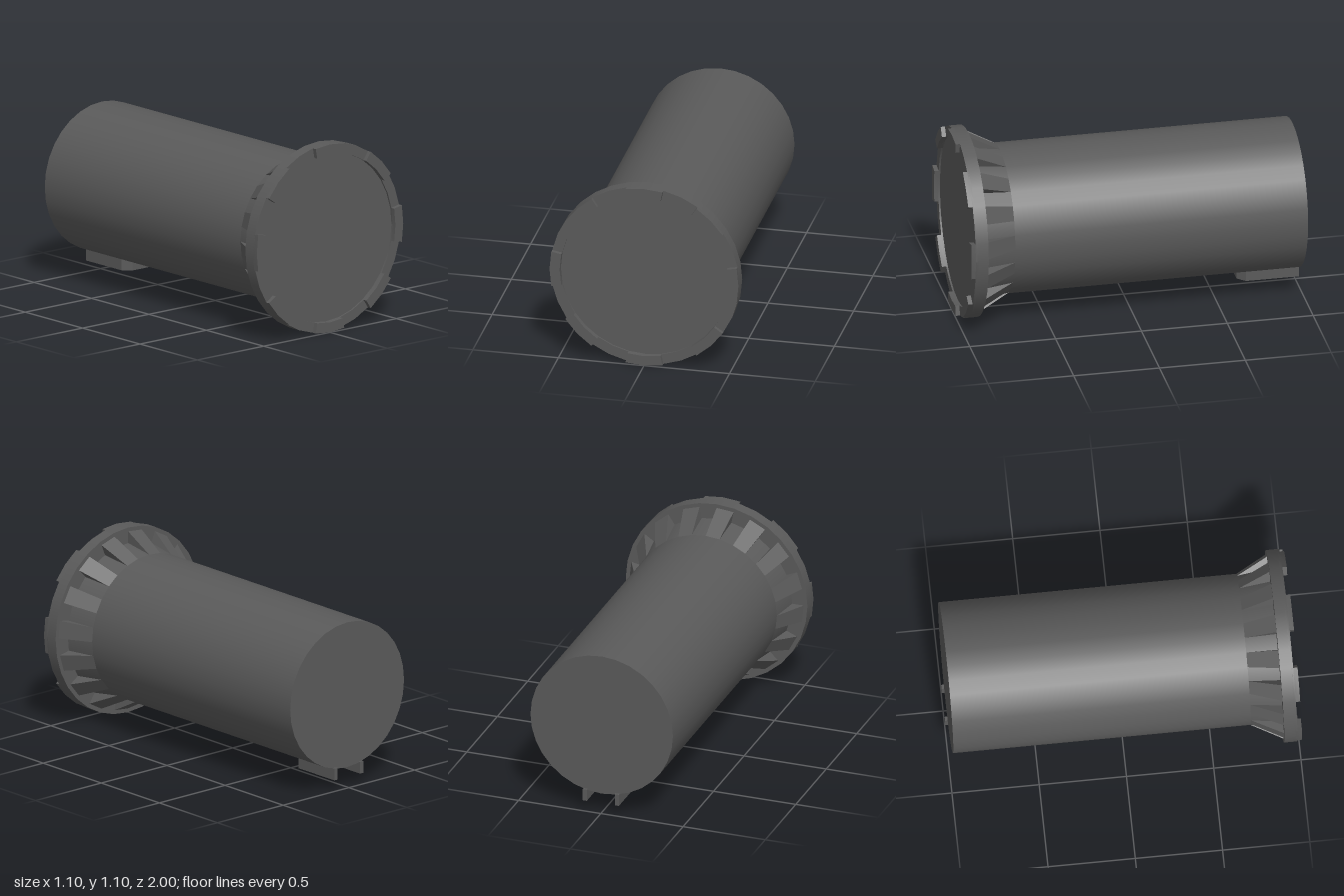
import * as THREE from 'three';

const CY = 0.556;               // height of the tube axis
const STEP = Math.PI / 16;      // one of 32 facets

// Block bent around the z axis, with its own inner/outer radius at each end
function arcBlock(start, steps, back, front) {
  const g = new THREE.BoxGeometry(1, 1, 1, steps, 1, 1);
  const p = g.attributes.position;
  for (let i = 0; i < p.count; i++) {
    const end = p.getZ(i) > 0 ? front : back;
    const r = p.getY(i) > 0 ? end.rOut : end.rIn;
    const a = (start + (0.5 - p.getX(i)) * steps) * STEP;
    p.setXYZ(i, Math.cos(a) * r, Math.sin(a) * r, end.z);
  }
  g.computeVertexNormals();
  return g;
}

// Round section along z
function drum(rBack, rFront, zBack, zFront) {
  const g = new THREE.CylinderGeometry(rFront, rBack, zFront - zBack, 32);
  g.rotateX(Math.PI / 2);
  g.translate(0, 0, (zBack + zFront) / 2);
  return g;
}

export function createModel() {
  const model = new THREE.Group();
  const grey = new THREE.MeshStandardMaterial({ color: 0x5a5a5a });
  grey.name = 'darkGrey';

  const add = (name, geometry, parent = model) => {
    const mesh = new THREE.Mesh(geometry, grey);
    mesh.name = name;
    parent.add(mesh);
    return mesh;
  };
  const group = (name) => {
    const g = new THREE.Group();
    g.name = name;
    model.add(g);
    return g;
  };

  // Tube, shallow flare and flange
  add('tube', drum(0.433, 0.433, -0.985, 0.72));
  add('flare', drum(0.433, 0.46, 0.72, 0.905));
  add('flange', drum(0.552, 0.552, 0.9, 0.965));
  add('flangeRim', arcBlock(0, 32,
    { z: 0.96, rIn: 0.493, rOut: 0.552 }, { z: 0.975, rIn: 0.493, rOut: 0.552 }));

  // Raised lugs around the front rim
  const lugs = group('lugs');
  for (let i = 0; i < 8; i++) {
    add('lug', arcBlock(i * 4 - 1, 2,
      { z: 0.965, rIn: 0.493, rOut: 0.552 }, { z: 1, rIn: 0.493, rOut: 0.552 }), lugs);
  }

  // Wedge ribs bracing the flange
  const ribs = group('ribs');
  for (let i = 0; i < 16; i++) {
    add('rib', arcBlock(i * 2, 1,
      { z: 0.72, rIn: 0.42, rOut: 0.433 }, { z: 0.902, rIn: 0.42, rOut: 0.53 }), ribs);
  }

  // U-shaped catch under the back end, open to the rear
  const plan = new THREE.Shape([
    [-0.11, -1], [-0.085, -1], [-0.085, -0.71], [-0.05, -0.675], [0.05, -0.675], [0.085, -0.71],
    [0.085, -1], [0.11, -1], [0.11, -0.69], [0.065, -0.645], [-0.065, -0.645], [-0.11, -0.69],
  ].map(([x, z]) => new THREE.Vector2(x, z)));
  const catchGeometry = new THREE.ExtrudeGeometry(plan, { depth: 0.07, bevelEnabled: false });
  catchGeometry.rotateX(Math.PI / 2);
  catchGeometry.translate(0, 0.14 - CY, 0);
  add('catch', catchGeometry);

  model.children.forEach((part) => { part.position.y = CY; });
  return model;
}
